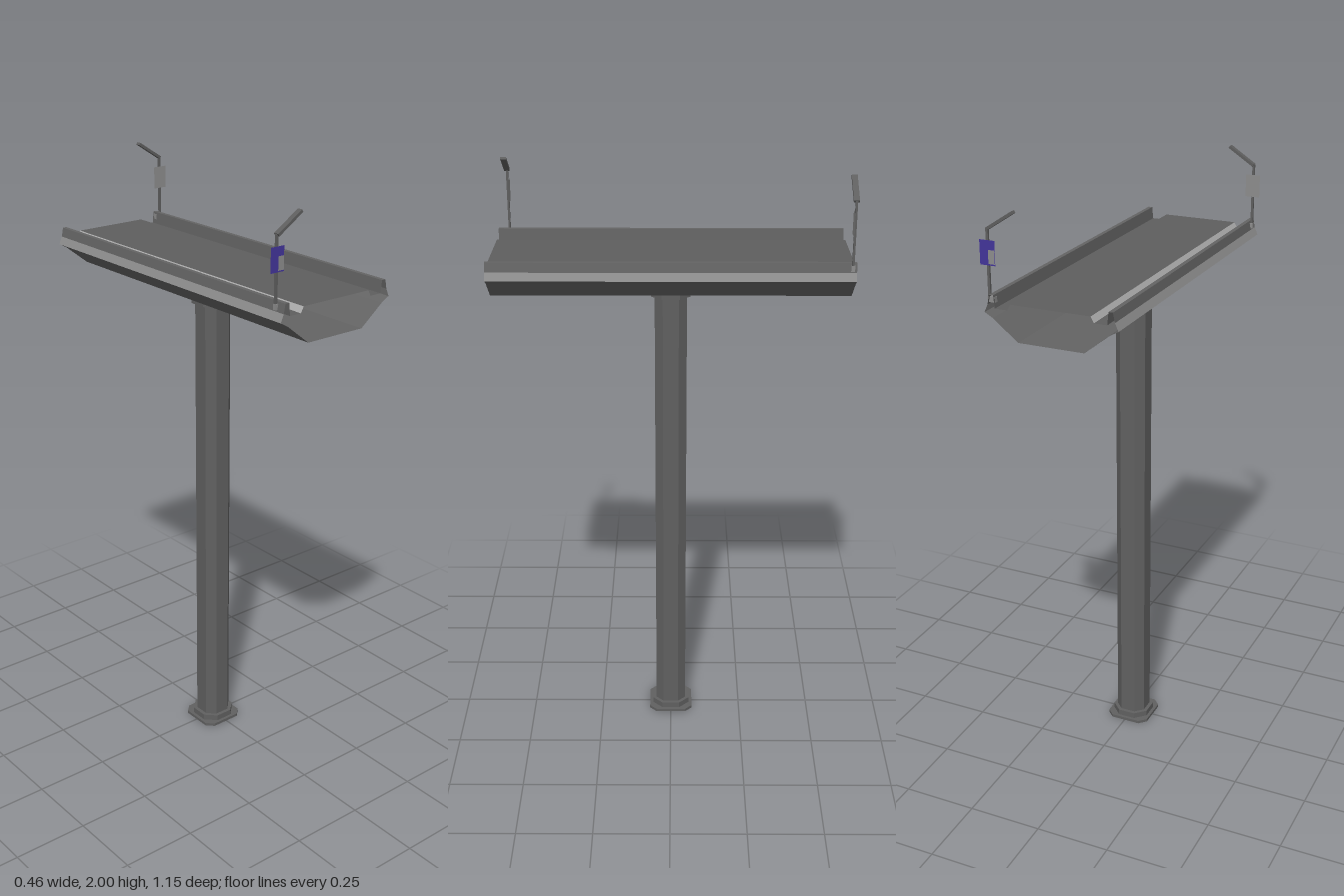
import * as THREE from 'three';

const mat = (name, color, side = THREE.FrontSide) => {
  const m = new THREE.MeshStandardMaterial({ color, side, flatShading: true });
  m.name = name;
  return m;
};

export function createModel() {
  const root = new THREE.Group();
  const asphalt = mat('asphalt', 0x5e5e5e, THREE.DoubleSide);
  const concrete = mat('concrete', 0x646464, THREE.DoubleSide);
  const paleConcrete = mat('pale concrete', 0x8e8e8e, THREE.DoubleSide);
  const edgePaint = mat('edge paint', 0xb0b0b0, THREE.DoubleSide);
  const column = mat('column grey', 0x606060);
  const metal = mat('lamp metal', 0x5e5e5e);
  const signGrey = mat('sign grey', 0x8c8c8c);
  const signPurple = mat('sign purple', 0x43349a);

  const add = (parent, name, geometry, material, x = 0, y = 0, z = 0) => {
    const m = new THREE.Mesh(geometry, material);
    m.name = name;
    m.position.set(x, y, z);
    parent.add(m);
    return m;
  };

  // Open sheet: a cross-section in x, y swept along the span
  const Z0 = -0.573, Z1 = 0.573;
  const sheet = (points) => {
    const pos = [];
    for (let i = 0; i < points.length - 1; i++) {
      const [ax, ay] = points[i], [bx, by] = points[i + 1];
      pos.push(ax, ay, Z0, ax, ay, Z1, bx, by, Z1, ax, ay, Z0, bx, by, Z1, bx, by, Z0);
    }
    const g = new THREE.BufferGeometry();
    g.setAttribute('position', new THREE.Float32BufferAttribute(pos, 3));
    g.computeVertexNormals();
    return g;
  };

  // Bridge span, hollow and open at both ends
  const span = new THREE.Group();
  span.name = 'span';
  root.add(span);
  add(span, 'roadway', sheet([[-0.13, 1.724], [0.13, 1.724]]), asphalt);
  add(span, 'girderBottom', sheet([[0.108, 1.61], [-0.108, 1.61]]), concrete);
  for (const s of [-1, 1]) {
    // points run clockwise in section so that all faces look outward
    const side = (pts) => sheet(s > 0 ? pts : pts.map(([x, y]) => [-x, y]).reverse());
    add(span, 'roadEdge', side([[0.13, 1.724], [0.14, 1.705]]), edgePaint);
    add(span, 'ledge', side([[0.14, 1.705], [0.182, 1.705]]), asphalt);
    add(span, 'parapet', side([[0.182, 1.705], [0.186, 1.745], [0.2, 1.745], [0.206, 1.715]]), concrete);
    add(span, 'fascia', side([[0.206, 1.715], [0.217, 1.69]]), paleConcrete);
    add(span, 'girderSide', side([[0.217, 1.69], [0.19, 1.675], [0.108, 1.61]]), concrete);
  }

  // Pier built from upright prisms: squares of the given half width with cut corners
  const pier = new THREE.Group();
  pier.name = 'pier';
  pier.position.x = -0.003;
  root.add(pier);
  const prism = (name, half, flat, y0, y1) => {
    const shape = new THREE.Shape([
      [half, -flat], [half, flat], [flat, half], [-flat, half],
      [-half, flat], [-half, -flat], [-flat, -half], [flat, -half],
    ].map(([x, y]) => new THREE.Vector2(x, y)));
    const g = new THREE.ExtrudeGeometry(shape, { depth: y1 - y0, bevelEnabled: false });
    g.rotateX(-Math.PI / 2);
    add(pier, name, g, column, 0, y0, 0);
  };
  prism('shaft', 0.0525, 0.026, 0.01, 1.605);
  prism('basePlate', 0.076, 0.052, 0, 0.01);
  prism('baseCollar', 0.065, 0.03, 0.01, 0.03);
  prism('capCollar', 0.064, 0.03, 1.58, 1.602);
  prism('capPlate', 0.086, 0.036, 1.602, 1.609);

  // Lamp posts with a paper-thin sign, one at each end on opposite sides
  const lamp = (x, z, turn) => {
    const g = new THREE.Group();
    g.name = 'lampPost';
    g.position.set(x, 0, z);
    g.rotation.y = turn;
    root.add(g);
    add(g, 'lampBase', new THREE.BoxGeometry(0.025, 0.018, 0.012), signGrey, 0.008, 1.729, 0);
    add(g, 'post', new THREE.BoxGeometry(0.008, 0.22, 0.007), metal, 0, 1.83, 0);
    const a = new THREE.Vector2(0, 1.938), b = new THREE.Vector2(0.088, 1.995);
    const d = b.clone().sub(a);
    const arm = add(g, 'lampArm', new THREE.BoxGeometry(d.length(), 0.009, 0.018), metal,
      (a.x + b.x) / 2, (a.y + b.y) / 2, 0);
    arm.rotation.z = Math.atan2(d.y, d.x);
    const back = add(g, 'signBack', new THREE.PlaneGeometry(0.05, 0.075), signGrey, 0, 1.868, -0.0045);
    back.rotation.y = Math.PI;
    add(g, 'signFace', new THREE.PlaneGeometry(0.05, 0.075), signPurple, 0, 1.868, 0.0045);
    add(g, 'signPatch', new THREE.PlaneGeometry(0.021, 0.042), signGrey, 0.0135, 1.856, 0.0055);
  };
  lamp(-0.207, 0.538, 0);
  lamp(0.204, -0.56, Math.PI);

  return root;
}
